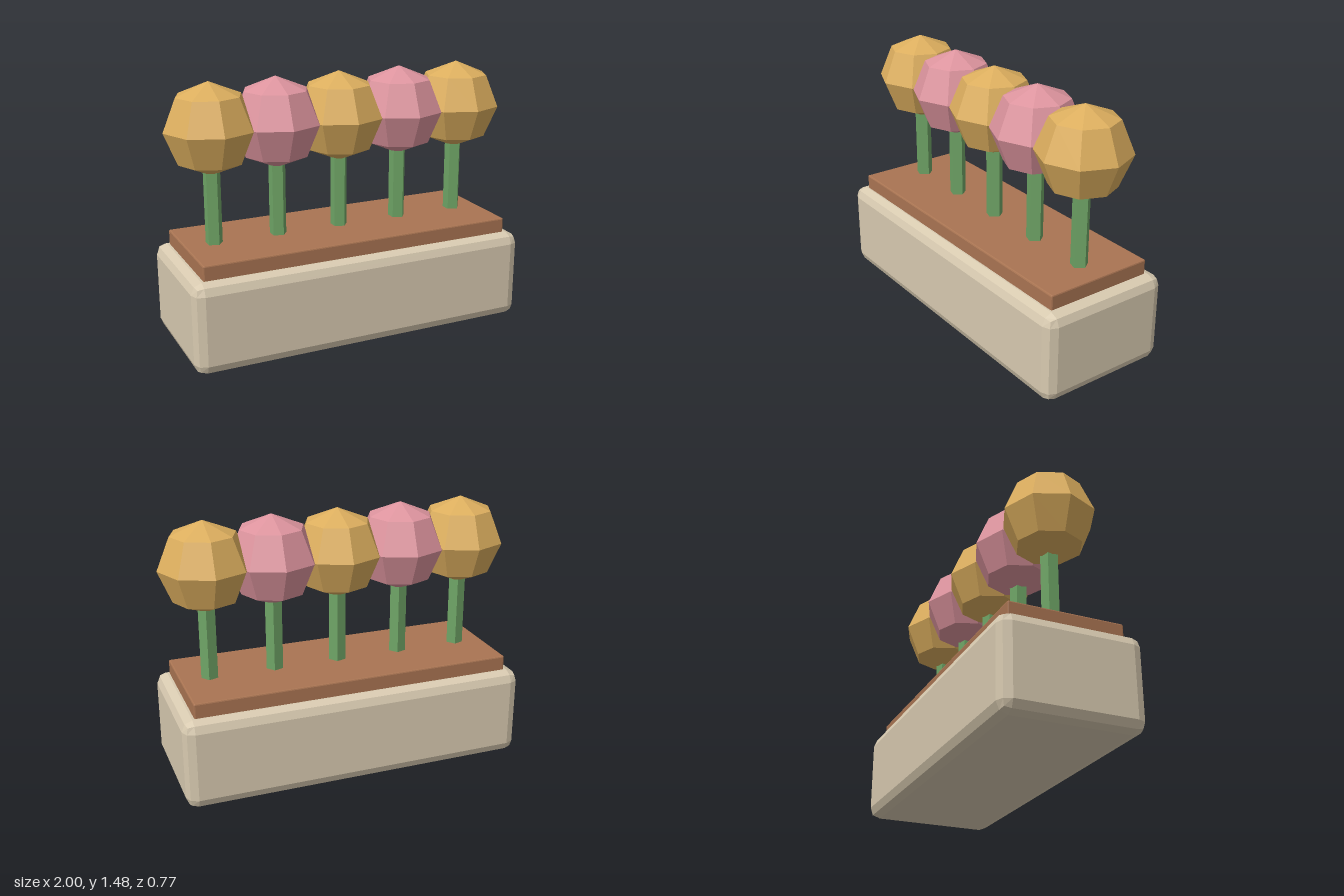
import * as THREE from 'three';
import { RoundedBoxGeometry } from 'three/addons/geometries/RoundedBoxGeometry.js';

const material = (name, color) => {
  const m = new THREE.MeshStandardMaterial({ color });
  m.name = name;
  return m;
};

// Give every facet its own flat normal
function faceted(geometry) {
  const g = geometry.index ? geometry.toNonIndexed() : geometry;
  g.computeVertexNormals();
  return g;
}

export function createModel() {
  const stone = material('cream stone', 0xd8cab0);
  const earth = material('brown soil', 0xa97452);
  const green = material('stem green', 0x6fa566);
  const gold = material('golden bloom', 0xdcae5e);
  const pink = material('pink bloom', 0xdd949e);

  const model = new THREE.Group();
  model.name = 'flowerPlanter';
  const add = (name, geometry, mat, x, y, parent = model) => {
    const mesh = new THREE.Mesh(geometry, mat);
    mesh.name = name;
    mesh.position.set(x, y, 0);
    parent.add(mesh);
  };

  // Trough with chamfered edges, and the soil block standing proud of it
  add('trough', faceted(new RoundedBoxGeometry(1.97, 0.51, 0.772, 1, 0.06)), stone, 0, 0.255);
  add('soil', faceted(new RoundedBoxGeometry(1.824, 0.152, 0.634, 1, 0.008)), earth, 0, 0.517);

  // Five flowers: five-sided stem with one edge towards +x, eight-sided bloom
  const stem = faceted(new THREE.CylinderGeometry(0.0485, 0.0485, 0.5, 5, 1, false, Math.PI / 2));
  const bloom = faceted(new THREE.SphereGeometry(0.253, 8, 4));
  for (let i = 0; i < 5; i++) {
    const flower = new THREE.Group();
    flower.name = `flower${i + 1}`;
    flower.position.x = (i - 2) * 0.3735;
    add('stem', stem, green, 0, 0.8, flower);
    add('bloom', bloom, i % 2 ? pink : gold, 0, 1.227, flower);
    model.add(flower);
  }
  return model;
}
